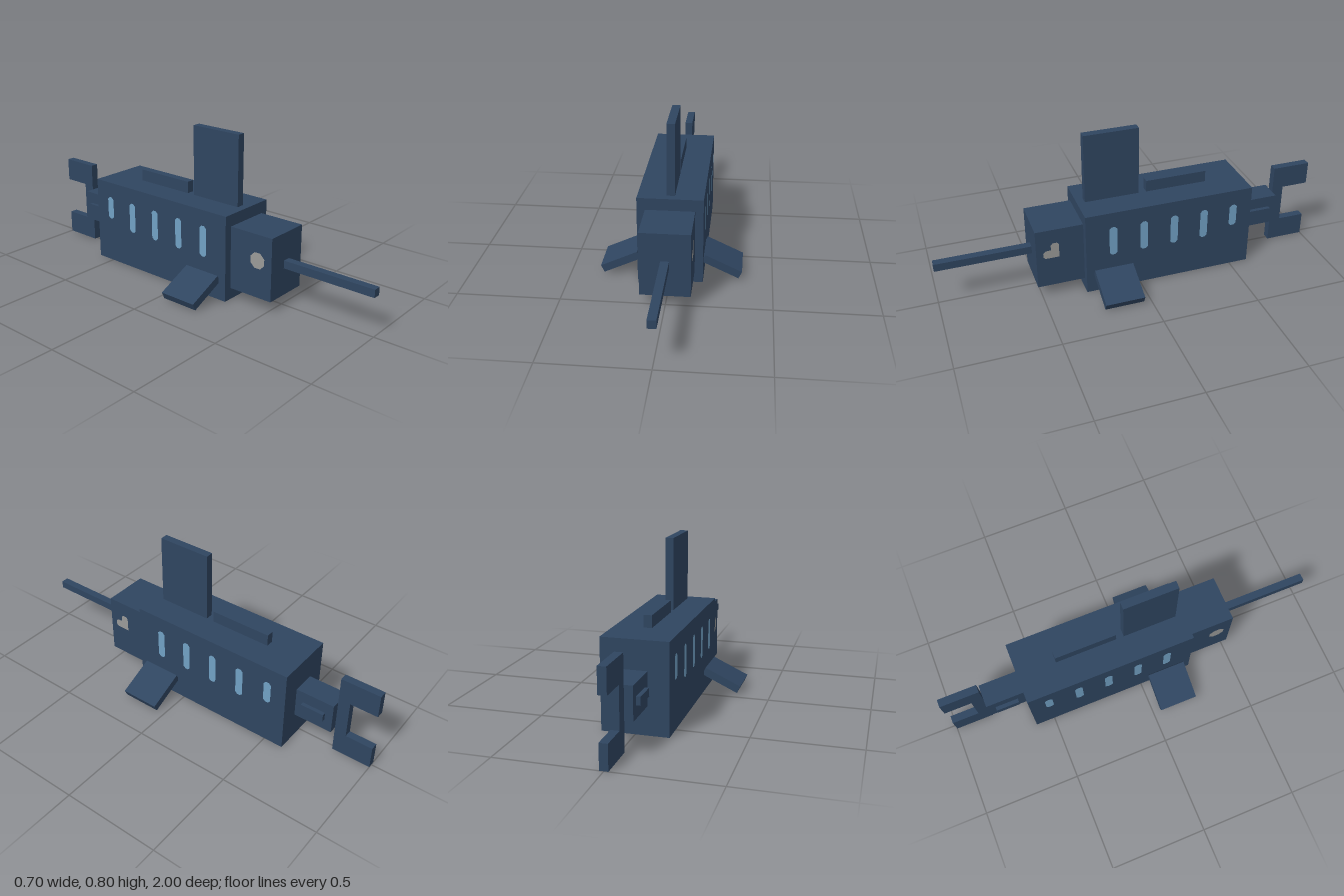
import * as THREE from 'three';

export function createModel() {
  const model = new THREE.Group();
  const mat = (name, color) => new THREE.MeshStandardMaterial({ name, color });
  const navy = mat('navy skin', 0x2f4560);
  const grey = mat('grey belly', 0x9a9a98);
  const blue = mat('light blue stripe', 0x71a1c4);

  // Box from its minimum and maximum corners; optionally with a grey underside
  function box(name, [x0, y0, z0], [x1, y1, z1], belly = false) {
    const geo = new THREE.BoxGeometry(x1 - x0, y1 - y0, z1 - z0);
    const mesh = new THREE.Mesh(geo, belly ? [navy, navy, navy, grey, navy, navy] : navy);
    mesh.name = name;
    mesh.position.set((x0 + x1) / 2, (y0 + y1) / 2, (z0 + z1) / 2);
    model.add(mesh);
    return mesh;
  }

  // Flat marking on a flank, outlined by [z, y] points
  function marking(name, side, x, points, material) {
    const shape = new THREE.Shape(points.map(([z, y]) => new THREE.Vector2(-side * z, y)));
    const mesh = new THREE.Mesh(new THREE.ShapeGeometry(shape), material);
    mesh.name = name;
    mesh.rotation.y = side * Math.PI / 2;
    mesh.position.x = side * (x + 0.002);
    model.add(mesh);
  }

  // Body, head and bill
  box('body', [-0.16, 0, -0.6], [0.16, 0.44, 0.28], true);
  box('head', [-0.12, 0.06, 0.28], [0.12, 0.38, 0.52], true);
  box('bill', [-0.02, 0.2, 0.52], [0.02, 0.24, 1]);

  // Fins on the back
  box('dorsalFin', [-0.02, 0.44, -0.04], [0.02, 0.8, 0.24]);
  box('backRidge', [-0.02, 0.44, -0.4], [0.02, 0.5, -0.08]);

  // Tail stem, keels and forked tail fin
  box('tailStem', [-0.06, 0.14, -0.8], [0.06, 0.3, -0.6], true);
  box('tailKeels', [-0.08, 0.2, -0.76], [0.08, 0.24, -0.64]);
  const fork = new THREE.Shape([
    [0.8, 0], [1, 0], [1, 0.12], [0.86, 0.12], [0.86, 0.32], [1, 0.32], [1, 0.44], [0.8, 0.44],
  ].map(([z, y]) => new THREE.Vector2(z, y)));
  const tailFin = new THREE.Mesh(
    new THREE.ExtrudeGeometry(fork, { depth: 0.04, bevelEnabled: false }), navy);
  tailFin.name = 'tailFin';
  tailFin.rotation.y = Math.PI / 2;
  tailFin.position.x = -0.02;
  model.add(tailFin);

  for (const side of [1, -1]) {
    const label = side > 0 ? 'left' : 'right';

    // Drooping side fin
    const fin = box(label + 'SideFin', [-0.1, -0.02, 0.04], [0.1, 0.02, 0.24]);
    fin.position.x = side * 0.251;
    fin.position.y = 0.0685;
    fin.rotation.z = -side * THREE.MathUtils.degToRad(25);

    // Round-ended flank stripes, the rearmost one shorter
    [0.14, -0.02, -0.18, -0.34, -0.5].forEach((z, i) => {
      const bottom = i === 4 ? 0.24 : 0.2, top = 0.36, w = 0.02, c = 0.012;
      marking(label + 'Stripe' + (i + 1), side, 0.16, [
        [z - w, bottom + c], [z - w + c, bottom], [z + w - c, bottom], [z + w, bottom + c],
        [z + w, top - c], [z + w - c, top], [z - w + c, top], [z - w, top - c],
      ], blue);
    });
  }

  // Eyes: a notched patch on one side, a rounded one on the other
  marking('leftEye', 1, 0.12, [
    [0.405, 0.222], [0.475, 0.222], [0.485, 0.232], [0.485, 0.255], [0.473, 0.265], [0.446, 0.267],
    [0.446, 0.295], [0.436, 0.305], [0.415, 0.305], [0.405, 0.295],
  ], grey);
  const round = [];
  for (let i = 0; i < 8; i++) {
    const a = (i + 0.5) * Math.PI / 4;
    round.push([0.44 + 0.043 * Math.cos(a), 0.25 + 0.043 * Math.sin(a)]);
  }
  marking('rightEye', -1, 0.12, round, grey);

  return model;
}
